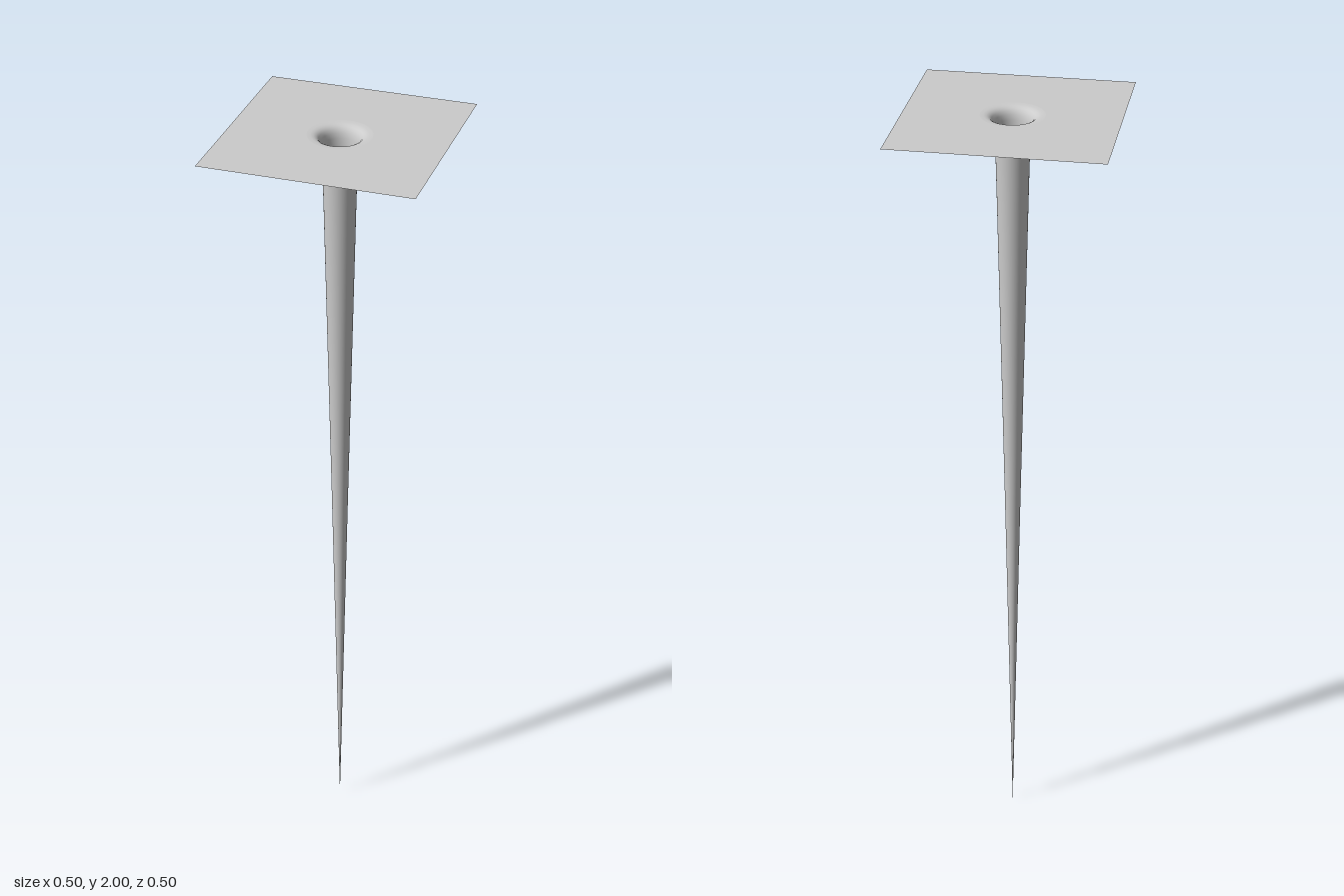
import * as THREE from 'three';

const SEGMENTS = 64;
const RIM = 0.075; // radius where the flat sheet meets the flared mouth

export function createModel() {
  const group = new THREE.Group();
  const material = new THREE.MeshStandardMaterial({ color: 0xcccccc, side: THREE.DoubleSide });

  // Thin square sheet with a round opening
  const square = new THREE.Shape([[-1, -1], [1, -1], [1, 1], [-1, 1]]
    .map(([x, y]) => new THREE.Vector2(x * 0.25, y * 0.25)));
  square.holes.push(new THREE.Path().absarc(0, 0, RIM, 0, Math.PI * 2, true));
  const sheetGeometry = new THREE.ShapeGeometry(square, SEGMENTS / 2);
  sheetGeometry.rotateX(-Math.PI / 2);
  const sheet = new THREE.Mesh(sheetGeometry, material);
  sheet.name = 'sheet';
  sheet.position.y = 2;
  group.add(sheet);

  // Flared mouth running into a long hollow spike, from rim to tip
  const profile = [
    [RIM, 2], [0.066, 1.9995], [0.059, 1.998], [0.053, 1.995], [0.048, 1.99],
    [0.044, 1.982], [0.0415, 1.97], [0.0405, 1.95], [0.037, 1.8], [0.0285, 1.4],
    [0.02, 1], [0.012, 0.6], [0.004, 0.2], [0, 0],
  ].map(([r, y]) => new THREE.Vector2(r, y));
  const spike = new THREE.Mesh(new THREE.LatheGeometry(profile, SEGMENTS), material);
  spike.name = 'hollowSpike';
  group.add(spike);

  return group;
}
